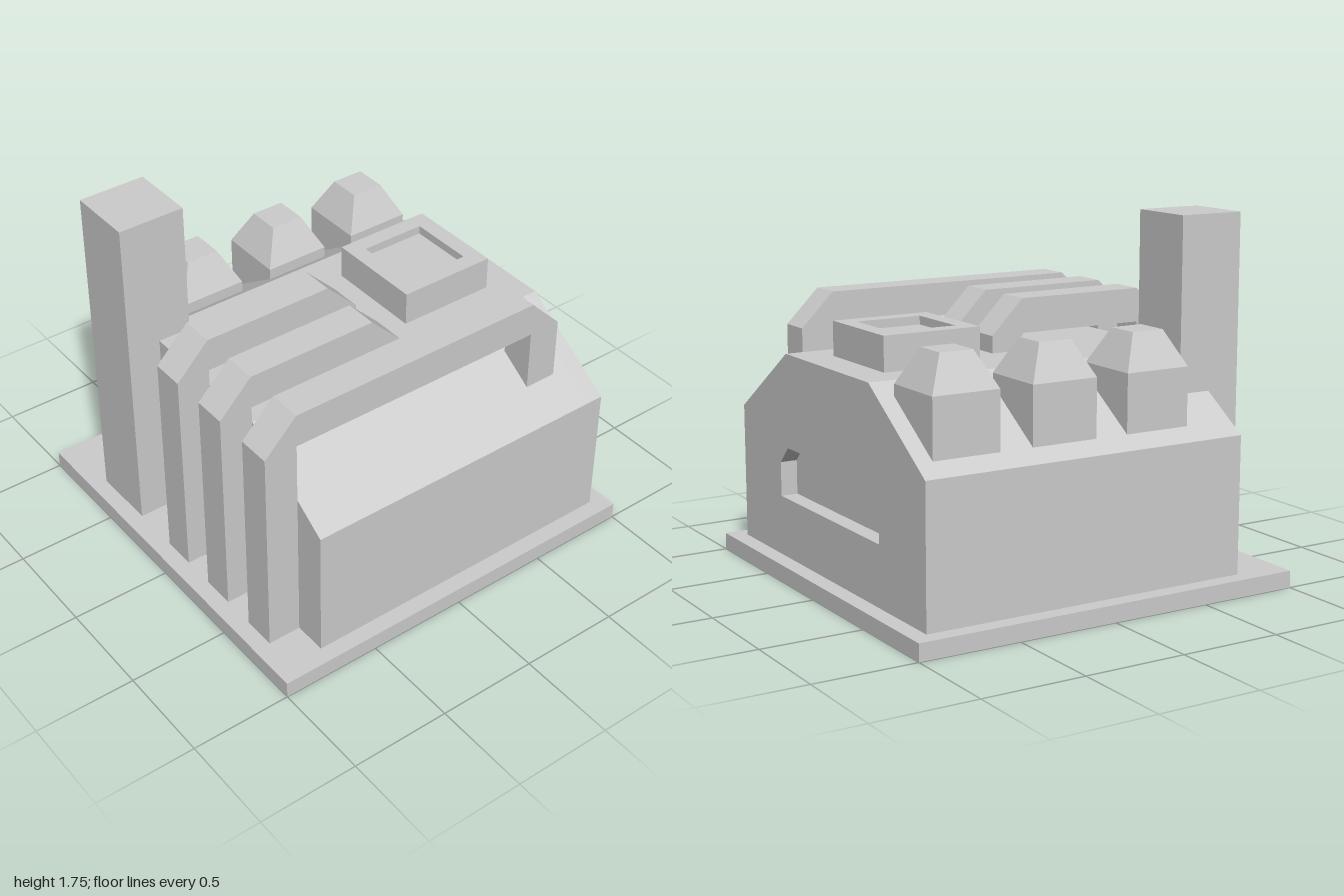
import * as THREE from 'three';

const material = new THREE.MeshStandardMaterial({ color: 0xcccccc, flatShading: true });

function add(group, name, geometry) {
  const mesh = new THREE.Mesh(geometry, material);
  mesh.name = name;
  group.add(mesh);
  return mesh;
}

// Box given by its minimum and maximum corners
function box([x0, y0, z0], [x1, y1, z1]) {
  return new THREE.BoxGeometry(x1 - x0, y1 - y0, z1 - z0)
    .translate((x0 + x1) / 2, (y0 + y1) / 2, (z0 + z1) / 2);
}

const points = (list) => list.map(([x, y]) => new THREE.Vector2(x, y));
const square = (h) => [[-h, -h], [h, -h], [h, h], [-h, h]];

function extrude(outline, depth, hole) {
  const shape = new THREE.Shape(points(outline));
  if (hole) shape.holes.push(new THREE.Path(points(hole)));
  return new THREE.ExtrudeGeometry(shape, { depth, bevelEnabled: false });
}

// Square frame lying flat, rising from y
const frame = (outer, inner, y, height) =>
  extrude(square(outer), height, square(inner)).rotateX(-Math.PI / 2).translate(0, y, 0);

// Square duct that climbs the side wall, crosses over and drops onto the roof
function ductGeometry(endX, endY, z) {
  const w = 0.167, left = -0.917, top = 1.333;
  return extrude([
    [left, 0.083], [left + w, 0.083], [left + w, top - w], [endX - w, top - w],
    [endX - w, endY], [endX, endY], [endX, top - w], [endX - w, top],
    [left + w, top], [left, top - w],
  ], w).translate(0, 0, z - w / 2);
}

export function createModel() {
  const model = new THREE.Group();
  model.name = 'factory';

  // Base plate with a square groove underneath
  const base = new THREE.Group();
  base.name = 'base';
  model.add(base);
  add(base, 'basePlate', box([-1, 0.04, -1], [1, 0.083, 1]));
  add(base, 'baseUnderside', frame(1, 0.333, 0, 0.04));
  add(base, 'basePanel', box([-0.29, 0, -0.29], [0.29, 0.04, 0.29]));

  // Hall with sloped roof edges; the end wall has a recessed window
  const hall = [[-0.917, 0.083], [0.917, 0.083], [0.917, 0.75],
    [0.417, 1.083], [-0.417, 1.083], [-0.917, 0.75]];
  const opening = [[-0.5, 0.375], [0.5, 0.375], [0.5, 0.542],
    [0.417, 0.627], [-0.417, 0.627], [-0.5, 0.542]];
  add(model, 'hall', extrude(hall, 1.583).rotateY(Math.PI / 2).translate(-0.75, 0, 0));
  add(model, 'windowWall', extrude(hall, 0.084, opening).rotateY(Math.PI / 2).translate(0.833, 0, 0));

  // Chimney
  add(model, 'chimney', box([-0.917, 0.083, -0.667], [-0.583, 1.75, -0.333]));

  // Ducts: one long, two short
  for (const [endX, endY, z] of [[0.75, 0.86, 0.667], [0.083, 1.08, 0.333], [0.083, 1.08, 0]]) {
    add(model, 'duct', ductGeometry(endX, endY, z));
  }

  // Roof vent with a sunken top
  const vent = new THREE.Group();
  vent.name = 'roofVent';
  vent.position.set(0.5, 0, 0);
  model.add(vent);
  add(vent, 'ventBody', box([-0.25, 1.083, -0.25], [0.25, 1.208, 0.25]));
  add(vent, 'ventRim', frame(0.25, 0.167, 1.208, 0.042));

  // Row of stacks with tapered caps
  for (const x of [-0.333, 0.167, 0.667]) {
    const stack = new THREE.Group();
    stack.name = 'stack';
    stack.position.set(x, 0, -0.667);
    model.add(stack);
    add(stack, 'stackBody', box([-0.167, 0.78, -0.167], [0.167, 1.083, 0.167]));
    add(stack, 'stackCap', new THREE.CylinderGeometry(0.083 * Math.SQRT2, 0.167 * Math.SQRT2, 0.167, 4)
      .rotateY(Math.PI / 4).translate(0, 1.1665, 0));
  }

  return model;
}
